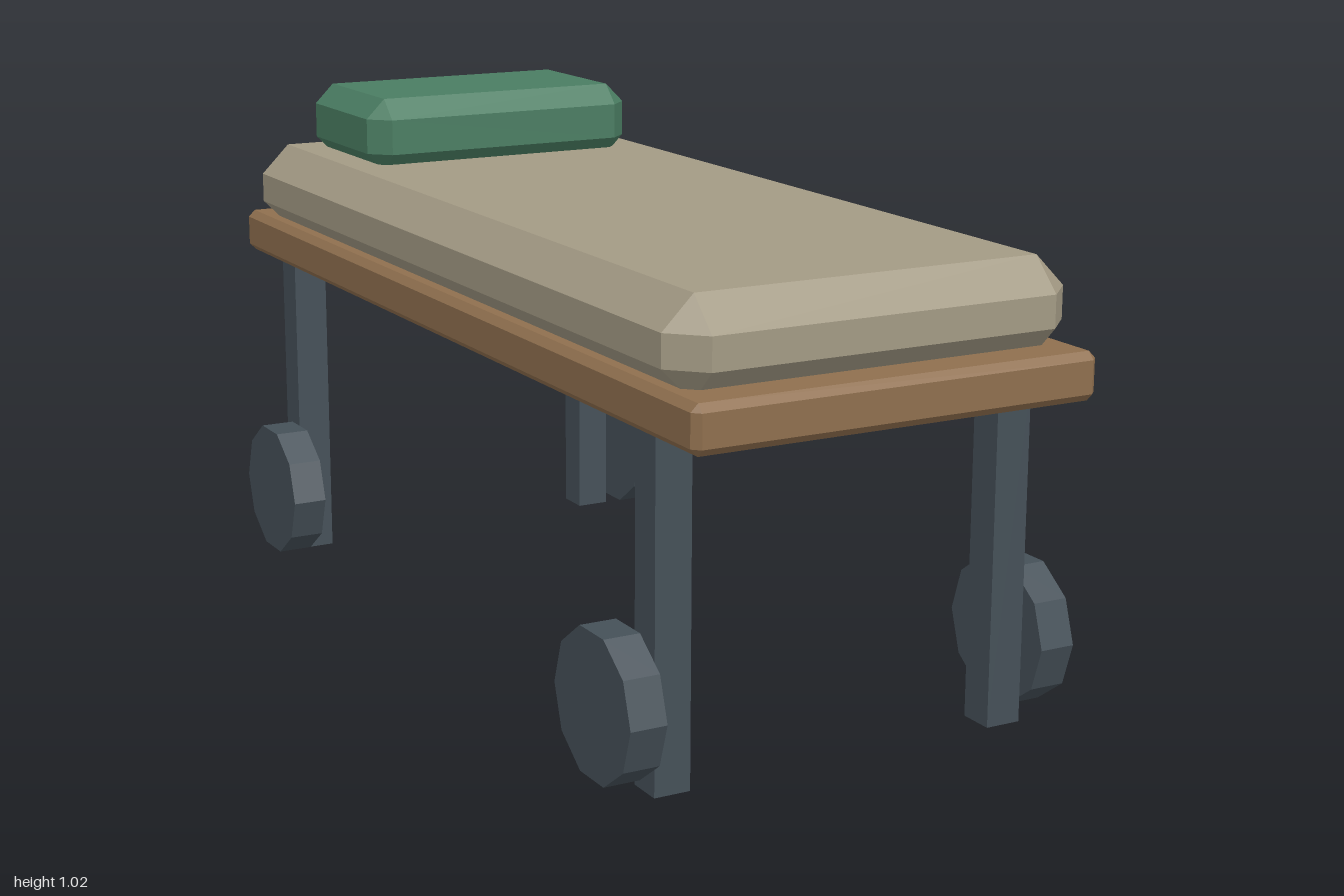
import * as THREE from 'three';
import { ConvexGeometry } from 'three/addons/geometries/ConvexGeometry.js';

const material = (color) => new THREE.MeshStandardMaterial({ color, flatShading: true });

// Box with every edge and corner chamfered by b
function chamferBox(w, h, d, b) {
  const points = [];
  for (const sx of [-1, 1]) for (const sy of [-1, 1]) for (const sz of [-1, 1]) {
    const x = w / 2, y = h / 2, z = d / 2;
    points.push(
      new THREE.Vector3(sx * x, sy * (y - b), sz * (z - b)),
      new THREE.Vector3(sx * (x - b), sy * y, sz * (z - b)),
      new THREE.Vector3(sx * (x - b), sy * (y - b), sz * z)
    );
  }
  return new ConvexGeometry(points);
}

export function createModel() {
  const group = new THREE.Group();
  const wood = material(0x8f6f4e);
  const cloth = material(0xa39a84);
  const green = material(0x4a7d62);
  const metal = material(0x455058);

  const add = (name, geometry, mat, x, y, z) => {
    const mesh = new THREE.Mesh(geometry, mat);
    mesh.name = name;
    mesh.position.set(x, y, z);
    group.add(mesh);
    return mesh;
  };

  // Bed: board, mattress sunk slightly into it, pillow at the back
  add('frameBoard', chamferBox(0.8, 0.088, 2, 0.014), wood, 0, 0.681, 0);
  add('mattress', chamferBox(0.8, 0.18, 1.9, 0.06), cloth, 0, 0.791, 0);
  add('pillow', chamferBox(0.6, 0.152, 0.36, 0.04), green, 0, 0.941, -0.68);

  // Four legs, each with a ten-sided wheel on its outer side
  const legGeometry = new THREE.BoxGeometry(0.07, 0.64, 0.07);
  const wheelGeometry = new THREE.CylinderGeometry(0.139, 0.139, 0.07, 10).rotateZ(Math.PI / 2);
  for (const [side, sx] of [['Left', 1], ['Right', -1]]) {
    for (const [end, sz] of [['front', 1], ['back', -1]]) {
      add(`${end}${side}Leg`, legGeometry, metal, sx * 0.345, 0.32, sz * 0.802);
      add(`${end}${side}Wheel`, wheelGeometry, metal, sx * 0.42, 0.151, sz * 0.752);
    }
  }
  return group;
}
